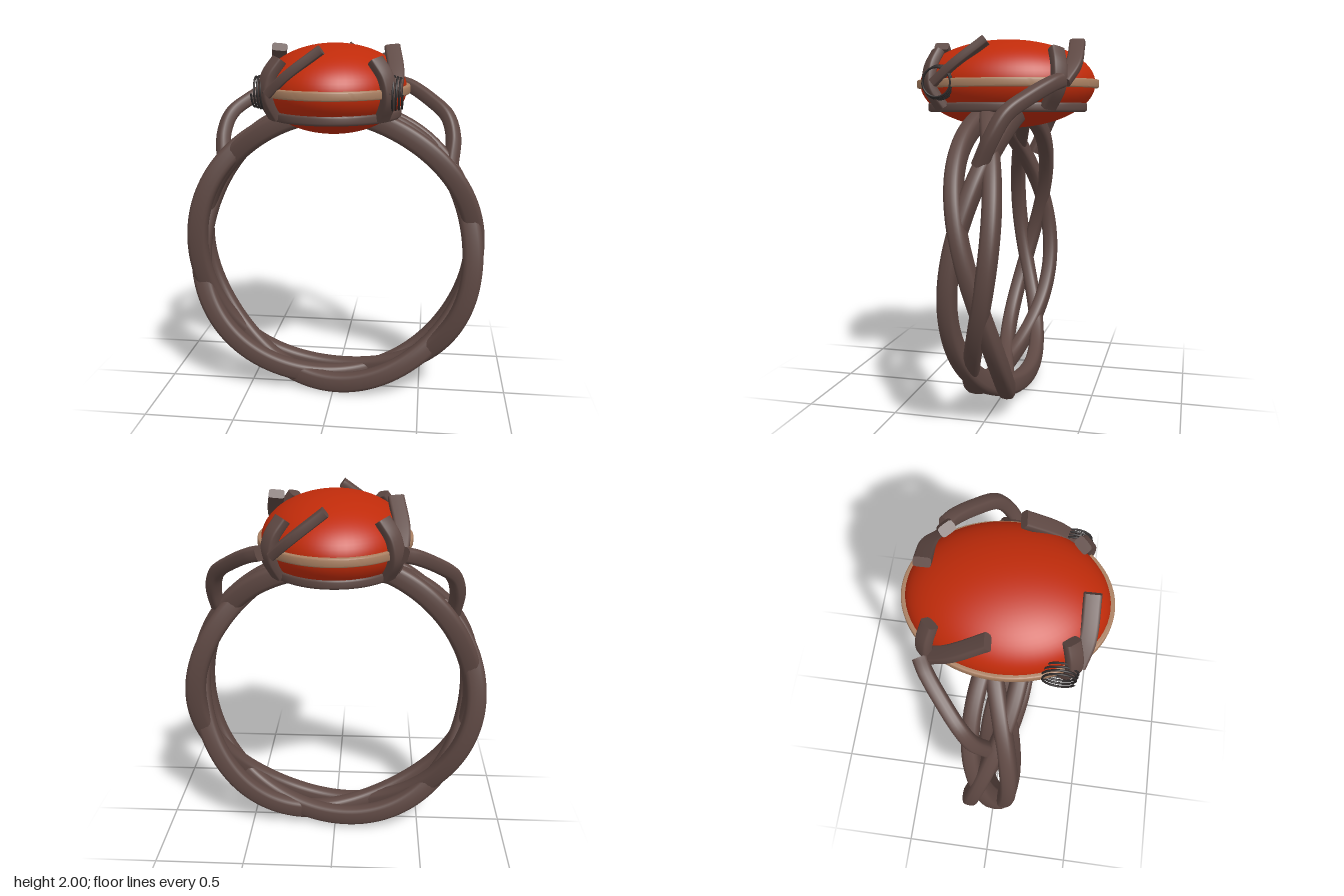
import * as THREE from 'three';
import { toCreasedNormals } from 'three/addons/utils/BufferGeometryUtils.js';

const V = (x, y, z) => new THREE.Vector3(x, y, z);

// Sweep a rounded-rectangle section along a path; up(t, p) sets the thickness direction.
// A smaller power gives squarer corners.
function sweep(pathAt, steps, up, width, height, power = 0.65, sides = 16) {
  const pos = [], idx = [], rings = [];
  for (let i = 0; i <= steps; i++) {
    const t = i / steps, e = 0.002;
    const p = pathAt(t);
    const tan = pathAt(Math.min(1, t + e)).sub(pathAt(Math.max(0, t - e))).normalize();
    const side = up(t, p).cross(tan).normalize();
    const n = tan.clone().cross(side);
    const ring = [];
    for (let j = 0; j < sides; j++) {
      const a = (j / sides) * Math.PI * 2, c = Math.cos(a), s = Math.sin(a);
      const u = Math.sign(c) * Math.abs(c) ** power * width / 2;
      const v = Math.sign(s) * Math.abs(s) ** power * height / 2;
      const q = p.clone().addScaledVector(side, u).addScaledVector(n, v);
      ring.push(q);
      pos.push(q.x, q.y, q.z);
    }
    rings.push(ring);
  }
  for (let i = 0; i < steps; i++) for (let j = 0; j < sides; j++) {
    const a = i * sides + j, b = i * sides + (j + 1) % sides;
    idx.push(a, b, a + sides, b, b + sides, a + sides);
  }
  // flat end caps
  [[rings[0], true], [rings[steps], false]].forEach(([ring, flip]) => {
    const base = pos.length / 3;
    ring.forEach(q => pos.push(q.x, q.y, q.z));
    for (let j = 1; j < sides - 1; j++) {
      if (flip) idx.push(base, base + j + 1, base + j);
      else idx.push(base, base + j, base + j + 1);
    }
  });
  const g = new THREE.BufferGeometry();
  g.setAttribute('position', new THREE.Float32BufferAttribute(pos, 3));
  g.setIndex(idx);
  g.computeVertexNormals();
  return g;
}

// Elliptical band around the stone
function ellipseBand(rx, rz, thickness, y0, y1, bevel) {
  const shape = new THREE.Shape().absellipse(0, 0, rx - bevel, rz - bevel, 0, Math.PI * 2, false, 0);
  shape.holes.push(new THREE.Path().absellipse(0, 0, rx - thickness, rz - thickness, 0, Math.PI * 2, true, 0));
  const g = new THREE.ExtrudeGeometry(shape, {
    depth: y1 - y0 - 2 * bevel, curveSegments: 72,
    bevelEnabled: true, bevelSize: bevel, bevelThickness: bevel, bevelSegments: 3,
  });
  g.rotateX(-Math.PI / 2);
  g.translate(0, y0 + bevel, 0);
  return toCreasedNormals(g, 0.6);
}

export function createModel() {
  const model = new THREE.Group();
  const material = (name, color) => {
    const m = new THREE.MeshStandardMaterial({ color });
    m.name = name;
    return m;
  };
  const bronze = material('dark bronze', 0x5e4843);
  const tan = material('tan metal', 0xaa8062);
  const red = material('red stone', 0xc02b0a);
  const black = material('blackened wire', 0x2e2a2a);
  const add = (name, geometry, mat) => {
    const mesh = new THREE.Mesh(geometry, mat);
    mesh.name = name;
    model.add(mesh);
  };
  const rad = THREE.MathUtils.degToRad;

  // Braided band: three strands, two weaves per turn, open under the stone
  const cy = 0.85, gap = 13;
  for (let k = 0; k < 3; k++) {
    const strand = t => {
      const a = rad(90 + gap + t * (360 - 2 * gap));
      const phase = 2 * (a - rad(15)) + k * Math.PI * 2 / 3;
      const r = 0.785 - 0.009 * Math.sin(2 * phase);
      return V(r * Math.cos(a), cy + r * Math.sin(a), -0.108 * Math.cos(phase));
    };
    add('bandStrand' + (k + 1), sweep(strand, 160, (t, p) => V(p.x, p.y - cy, 0), 0.09, 0.114), bronze);
  }

  // Oval stone with its two bands
  const stone = new THREE.SphereGeometry(1, 64, 40);
  stone.scale(0.39, 0.24, 0.488);
  stone.translate(0, 1.76, 0);
  add('stone', stone, red);
  add('girdleBand', ellipseBand(0.408, 0.507, 0.045, 1.736, 1.782, 0.008), tan);
  add('baseBand', ellipseBand(0.363, 0.445, 0.05, 1.608, 1.66, 0.014), bronze);

  const curve = pts => {
    const c = new THREE.CatmullRomCurve3(pts);
    return t => c.getPoint(t);
  };

  for (const sx of [1, -1]) {
    const sideName = sx > 0 ? 'Left' : 'Right';

    // Upright prongs gripping the stone at its four corners
    for (const sz of [1, -1]) {
      const path = curve([
        V(sx * 0.275, 1.632, sz * 0.285), V(sx * 0.312, 1.74, sz * 0.342),
        V(sx * 0.295, 1.84, sz * 0.342), V(sx * 0.24, 1.925, sz * 0.318),
      ]);
      add((sz > 0 ? 'front' : 'back') + sideName + 'Prong',
        sweep(path, 16, () => V(sx * 0.7, 0.2, sz * 0.7), 0.082, 0.055, 0.45), bronze);
    }

    // Shoulder wires from the back prongs down to the band
    const shoulder = curve([
      V(sx * 0.35, 1.765, -0.36), V(sx * 0.41, 1.745, -0.325), V(sx * 0.52, 1.68, -0.235),
      V(sx * 0.615, 1.6, -0.145), V(sx * 0.65, 1.49, -0.085), V(sx * 0.64, 1.35, -0.02),
    ]);
    add('shoulderWire' + sideName, sweep(shoulder, 40, () => V(sx * 0.6, 0.7, 0.3), 0.076, 0.076), bronze);

    // Loose wire coils wound beside the front prongs
    const turns = 4;
    const coil = new THREE.CatmullRomCurve3(Array.from({ length: turns * 16 + 1 }, (_, i) => {
      const f = i / (turns * 16), a = f * turns * Math.PI * 2, r = 0.09 - 0.016 * f;
      return V(sx * (0.315 + 0.065 * f), 1.76 + r * Math.sin(a), 0.285 + r * Math.cos(a));
    }));
    add('coil' + sideName, new THREE.TubeGeometry(coil, turns * 32, 0.0055, 8), black);
  }

  // Long claws running round the stone in a pinwheel, thin side square to its rim
  const claws = {
    frontClaw: [V(0, 0, 1), V(-0.29, 1.76, 0.36), V(-0.19, 1.85, 0.39), V(-0.02, 1.975, 0.385)],
    leftClaw: [V(1, 0, 0), V(0.33, 1.76, 0.31), V(0.34, 1.85, 0.2), V(0.31, 1.975, 0.035)],
    backClaw: [V(0, 0, -1), V(0.29, 1.76, -0.36), V(0.19, 1.85, -0.4), V(0.03, 1.975, -0.395)],
    rightClaw: [V(-1, 0, 0), V(-0.33, 1.76, -0.32), V(-0.34, 1.85, -0.21), V(-0.31, 1.975, -0.045)],
  };
  for (const [name, [out, ...pts]] of Object.entries(claws)) {
    add(name, sweep(curve(pts), 16, () => out.clone(), 0.05, 0.084, 0.4), bronze);
  }

  return model;
}
